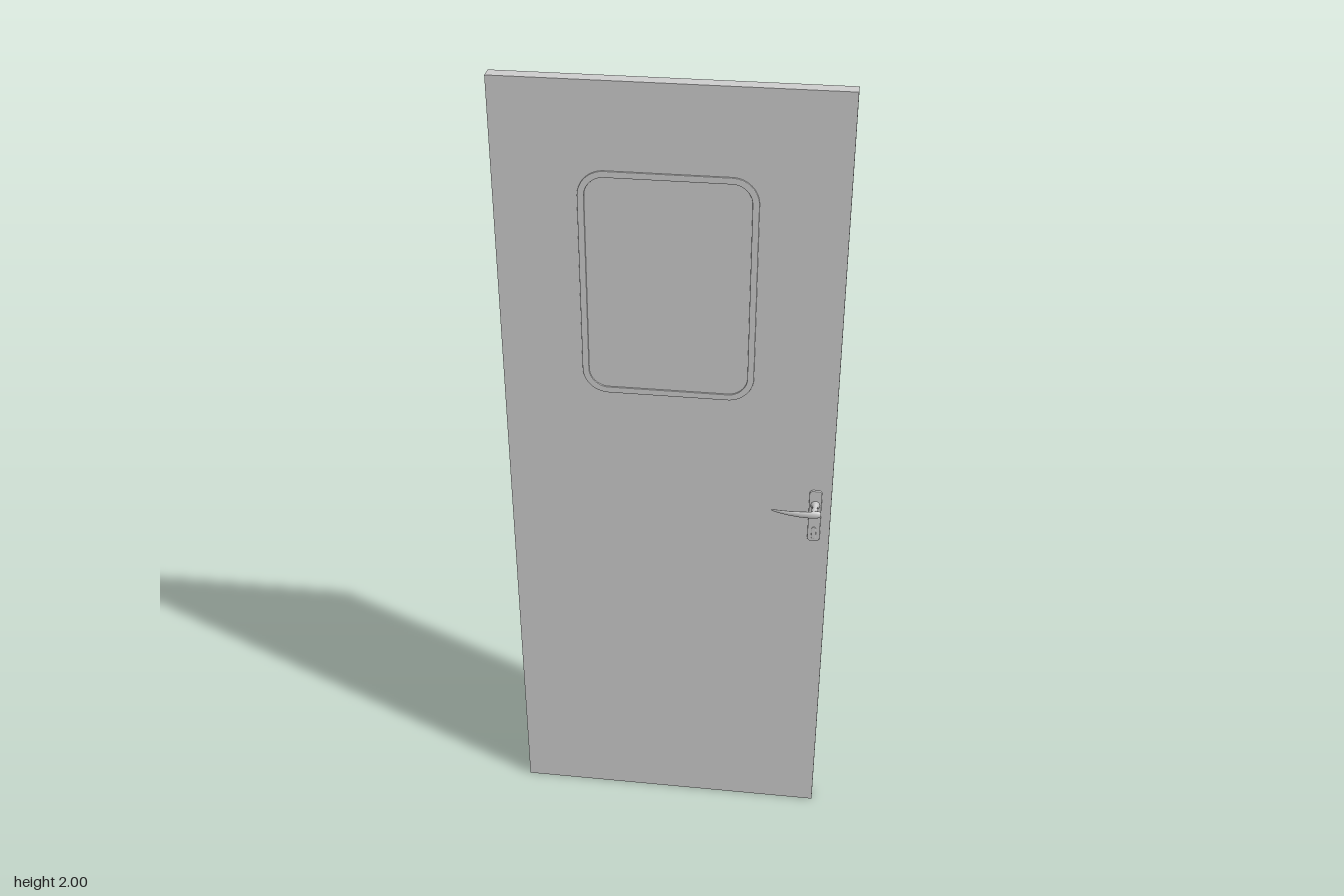
import * as THREE from 'three';

const MID_Z = -0.0015; // middle plane of the leaf
const HALF = 0.0165; // half of its thickness
const grey = new THREE.MeshStandardMaterial({ color: 0xcccccc });

// Rounded rectangle centred on the origin
function roundedRect(path, w, h, r) {
  const x = w / 2, y = h / 2;
  path.moveTo(-x + r, -y);
  path.lineTo(x - r, -y);
  path.absarc(x - r, -y + r, r, -Math.PI / 2, 0, false);
  path.lineTo(x, y - r);
  path.absarc(x - r, y - r, r, 0, Math.PI / 2, false);
  path.lineTo(-x + r, y);
  path.absarc(-x + r, y - r, r, Math.PI / 2, Math.PI, false);
  path.lineTo(-x, -y + r);
  path.absarc(-x + r, -y + r, r, Math.PI, Math.PI * 1.5, false);
  return path;
}

// Slab that starts just inside the leaf and stands proud of it by `proud`
function slab(shape, proud, bevel) {
  const sunk = 0.004;
  const geo = new THREE.ExtrudeGeometry(shape, {
    depth: sunk + proud - bevel * 2, bevelThickness: bevel, bevelSize: bevel,
    bevelOffset: -bevel, bevelSegments: 2, curveSegments: 10,
  });
  return geo.translate(0, 0, HALF - sunk + bevel);
}

// Tapering lever lofted through ellipses: [x, z, half depth, half height]
function leverGeometry() {
  const stations = [
    [0.25, 0.0545, 0.0010, 0.0025], [0.265, 0.0590, 0.0018, 0.004],
    [0.29, 0.0637, 0.0032, 0.006], [0.32, 0.0660, 0.0040, 0.008],
    [0.343, 0.0652, 0.0052, 0.009], [0.356, 0.0625, 0.0072, 0.0095],
    [0.364, 0.0615, 0.0062, 0.008], [0.368, 0.0610, 0.0025, 0.003],
  ];
  const sides = 14, pos = [], index = [];
  for (const [x, z, d, h] of stations) {
    for (let j = 0; j < sides; j++) {
      const a = (j / sides) * Math.PI * 2;
      pos.push(x, Math.cos(a) * h, z + Math.sin(a) * d);
    }
  }
  for (let i = 0; i < stations.length - 1; i++) {
    for (let j = 0; j < sides; j++) {
      const a = i * sides + j, b = i * sides + (j + 1) % sides;
      index.push(a, b, a + sides, b, b + sides, a + sides);
    }
  }
  // end caps
  const last = (stations.length - 1) * sides;
  for (let j = 1; j < sides - 1; j++) {
    index.push(0, j + 1, j, last, last + j, last + j + 1);
  }
  const geo = new THREE.BufferGeometry();
  geo.setAttribute('position', new THREE.Float32BufferAttribute(pos, 3));
  geo.setIndex(index);
  geo.computeVertexNormals();
  return geo;
}

// Turned part along z, from [radius, z] points
function turned(points) {
  return new THREE.LatheGeometry(points.map(([r, z]) => new THREE.Vector2(r, z)), 20)
    .rotateX(Math.PI / 2);
}

export function createModel() {
  const model = new THREE.Group();
  model.name = 'door';

  const leaf = new THREE.Mesh(new THREE.BoxGeometry(0.78, 2, HALF * 2), grey);
  leaf.name = 'doorLeaf';
  leaf.position.set(0, 1, MID_Z);
  model.add(leaf);

  // Raised window trim
  const trim = roundedRect(new THREE.Shape(), 0.397, 0.55, 0.06);
  trim.holes.push(roundedRect(new THREE.Path(), 0.367, 0.52, 0.045));

  // Lock plate and key cylinder
  const plate = roundedRect(new THREE.Shape(), 0.03, 0.145, 0.009);
  const key = roundedRect(new THREE.Shape(), 0.011, 0.034, 0.005);

  const stem = turned([
    [0, 0.012], [0.011, 0.012], [0.011, 0.0255], [0.0095, 0.0275], [0.0065, 0.0285],
    [0.0065, 0.041], [0.008, 0.043], [0.008, 0.059], [0, 0.062],
  ]);

  // Every fitting is symmetric in y, so the back copy is turned about x
  const fittings = [
    ['windowTrim', slab(trim, 0.004, 0.0015), -0.0035, 1.525],
    ['lockPlate', slab(plate, 0.006, 0.0015), 0.352, 0.9425],
    ['keyCylinder', slab(key, 0.0085, 0.001), 0.352, 0.895],
    ['handleStem', stem, 0.352, 0.976],
    ['handleLever', leverGeometry(), 0, 0.976],
  ];
  for (const side of ['front', 'back']) {
    const group = new THREE.Group();
    group.name = side + 'Fittings';
    for (const [name, geo, x, y] of fittings) {
      const mesh = new THREE.Mesh(geo, grey);
      mesh.name = name;
      mesh.position.set(x, y, MID_Z);
      if (side === 'back') mesh.rotation.x = Math.PI;
      group.add(mesh);
    }
    model.add(group);
  }
  return model;
}
